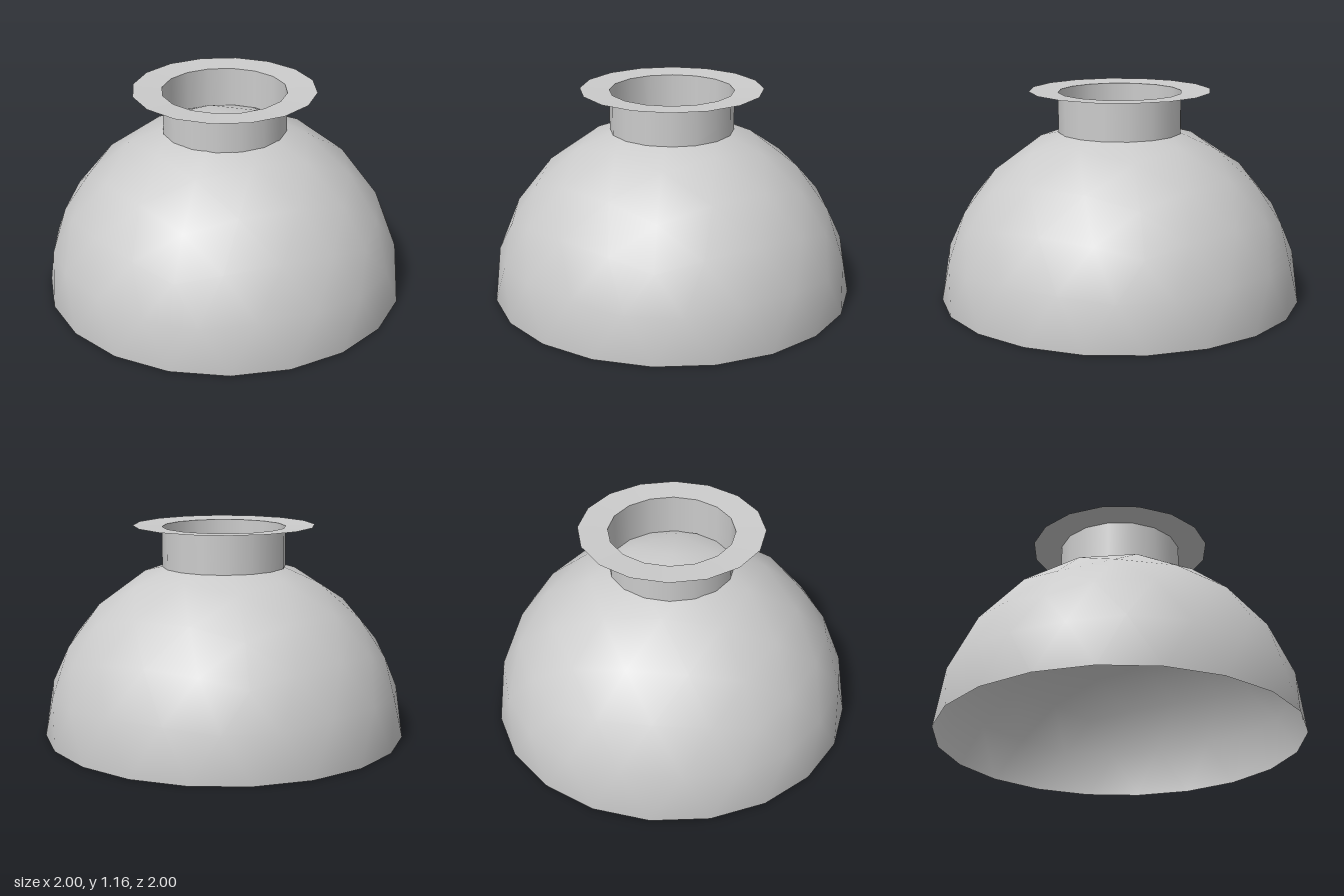
import * as THREE from 'three';

const material = new THREE.MeshStandardMaterial({ color: 0xcccccc, side: THREE.DoubleSide });

// Upper half of a geodesic sphere whose icosahedron stands on a vertex
function domeGeometry() {
  const corners = [0, 1, 0];
  const faces = [];
  const y = 1 / Math.sqrt(5), r = 2 * y;
  for (const [height, turn] of [[y, 0], [-y, 0.5]]) {
    for (let i = 0; i < 5; i++) {
      const a = (i + turn) * Math.PI * 2 / 5;
      corners.push(r * Math.cos(a), height, r * Math.sin(a));
    }
  }
  // Cap and side band; the bottom cap is left off
  for (let i = 0; i < 5; i++) {
    const a = 1 + i, b = 1 + (i + 1) % 5, c = 6 + i, d = 6 + (i + 1) % 5;
    faces.push(0, b, a, a, b, c, b, d, c);
  }
  const sphere = new THREE.PolyhedronGeometry(corners, faces, 1, 3);
  const p = sphere.getAttribute('position');

  // Keep only the triangles above the equator
  const kept = [];
  for (let i = 0; i < p.count; i += 3) {
    if (p.getY(i) + p.getY(i + 1) + p.getY(i + 2) < 0.01) continue;
    for (let k = i; k < i + 3; k++) kept.push(p.getX(k), p.getY(k), p.getZ(k));
  }
  const dome = new THREE.BufferGeometry();
  dome.setAttribute('position', new THREE.Float32BufferAttribute(kept, 3));
  // On a unit sphere the smooth normals equal the positions
  dome.setAttribute('normal', new THREE.Float32BufferAttribute(kept, 3));
  return dome;
}

export function createModel() {
  const model = new THREE.Group();
  model.name = 'domeWithCollar';
  const add = (name, geometry) => {
    const mesh = new THREE.Mesh(geometry, material);
    mesh.name = name;
    model.add(mesh);
    return mesh;
  };

  add('dome', domeGeometry());

  // Open collar around the crown
  const bottom = 0.93, top = 1.15;
  add('collar', new THREE.CylinderGeometry(0.34, 0.34, top - bottom, 16, 1, true))
    .position.y = (top + bottom) / 2;

  // Thin rim, rising very slightly outward
  add('flange', new THREE.LatheGeometry(
    [new THREE.Vector2(0.5, 1.158), new THREE.Vector2(0.34, top)], 16));

  return model;
}
